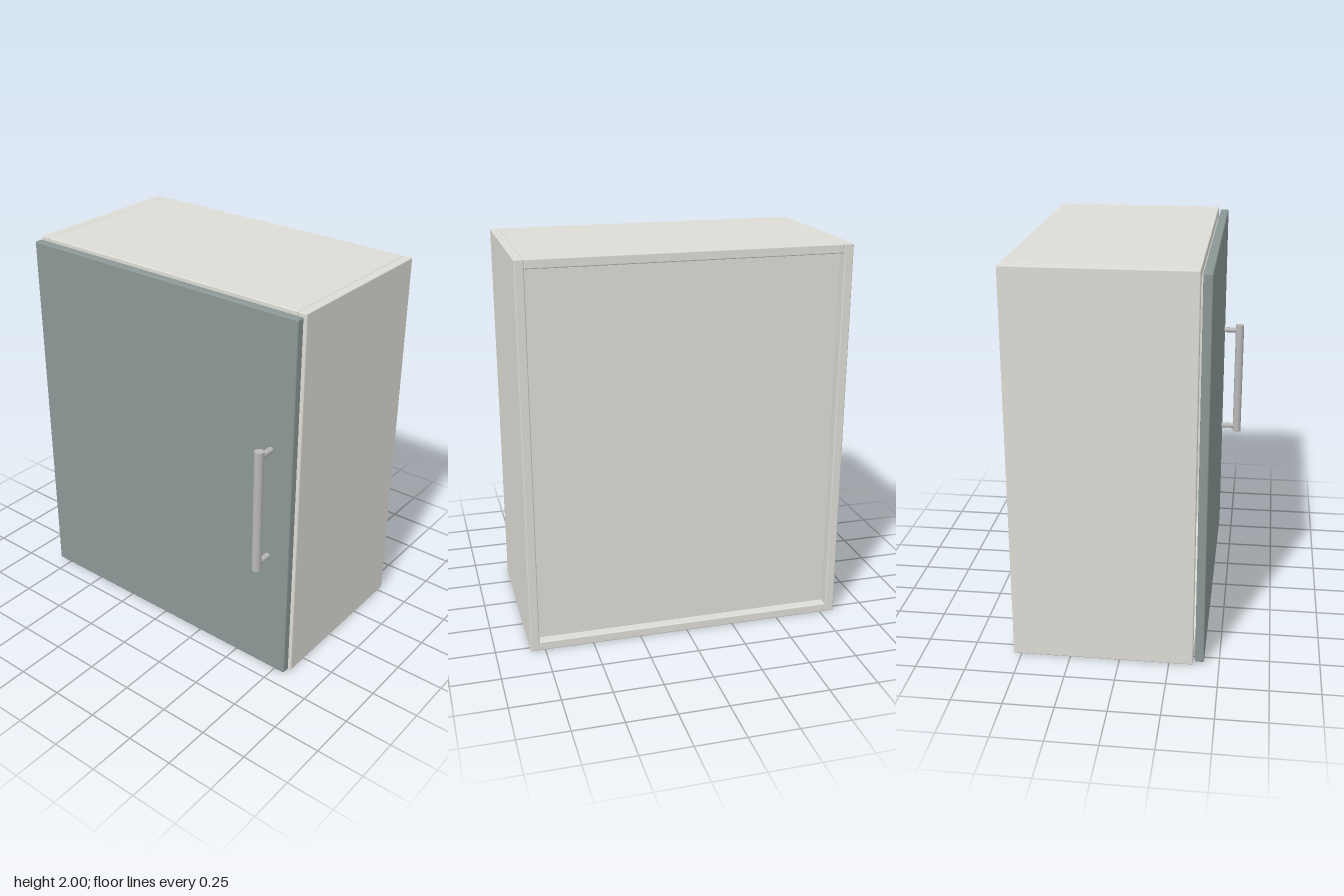
import * as THREE from 'three';
import { RoundedBoxGeometry } from 'three/addons/geometries/RoundedBoxGeometry.js';

export function createModel() {
  const model = new THREE.Group();
  model.name = 'wallCabinet';
  const carcass = new THREE.MeshStandardMaterial({ color: 0xdedcd6 });
  const paint = new THREE.MeshStandardMaterial({ color: 0x8b9896 });
  const metal = new THREE.MeshStandardMaterial({ color: 0xb8b8b8 });

  // Board with softened edges, given by its min and max corners
  function board(name, min, max, material, radius = 0.006) {
    const size = max.map((v, i) => v - min[i]);
    const mesh = new THREE.Mesh(new RoundedBoxGeometry(...size, 2, radius), material);
    mesh.position.set(...max.map((v, i) => (v + min[i]) / 2));
    mesh.name = name;
    model.add(mesh);
  }

  const W = 0.826, T = 0.047, back = -0.54, front = 0.37;
  const inner = W - T;

  // Carcass: two sides with top and bottom held between them
  board('leftSide', [inner, 0, back], [W, 2, front], carcass);
  board('rightSide', [-W, 0, back], [-inner, 2, front], carcass);
  board('topPanel', [-inner, 2 - T, back], [inner, 2, front], carcass);
  board('bottomPanel', [-inner, 0, back], [inner, T, front], carcass);

  // Back panel set in from the rear edges
  board('backPanel', [-inner, T, back + 0.05], [inner, 2 - T, back + 0.07], carcass, 0.001);

  // Door, slightly smaller than the carcass, with a small gap behind it
  board('door', [-0.818, 0.013, 0.38], [0.818, 1.987, 0.425], paint, 0.008);

  // Bar handle on two posts
  const handle = new THREE.Group();
  handle.name = 'handle';
  handle.position.set(0.695, 1.003, 0.516);
  const bar = new THREE.Mesh(new THREE.CylinderGeometry(0.024, 0.024, 0.664, 16), metal);
  bar.name = 'handleBar';
  handle.add(bar);
  const postGeometry = new THREE.CylinderGeometry(0.015, 0.015, 0.094, 16).rotateX(Math.PI / 2);
  for (const side of [-1, 1]) {
    const post = new THREE.Mesh(postGeometry, metal);
    post.name = side > 0 ? 'upperHandlePost' : 'lowerHandlePost';
    post.position.set(0, side * 0.3, -0.047);
    handle.add(post);
  }
  model.add(handle);
  return model;
}
